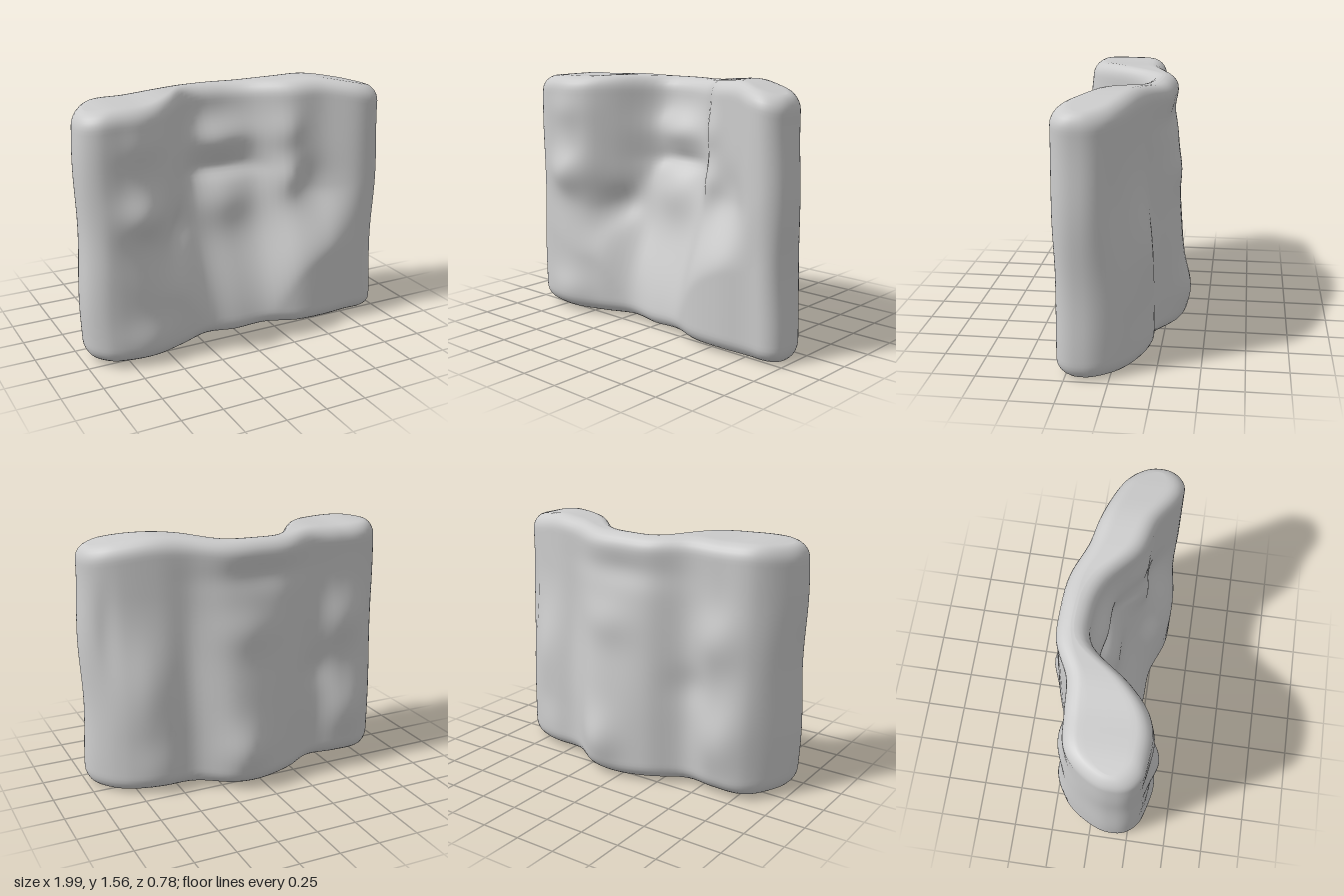
import * as THREE from 'three';

// Depth profiles at x = -1, -0.8 ... 1
const FRONT_TOP = [0.29, 0.32, 0.31, 0.17, -0.07, -0.10, -0.04, 0.13, 0.20, 0.31, 0.31];
const FRONT_LOW = [0.29, 0.34, 0.35, 0.30, 0.23, 0.25, 0.26, 0.33, 0.34, 0.31, 0.31];
const BACK_TOP = [0.01, -0.14, -0.17, -0.19, -0.28, -0.29, -0.27, -0.19, -0.14, -0.07, 0.03];
const BACK_LOW = [0.01, -0.18, -0.20, -0.19, -0.30, -0.34, -0.33, -0.22, -0.20, -0.13, 0.02];
// Height and softness of the step between the upper hollow and lower face
const LEDGE_Y = [0.80, 0.70, 0.58, 0.54, 0.55, 0.55, 0.56, 0.64, 0.68, 0.72, 0.80];
const LEDGE_SPREAD = [0.20, 0.20, 0.18, 0.20, 0.48, 0.60, 0.54, 0.30, 0.20, 0.20, 0.20];
const TOP_Y = [1.51, 1.53, 1.53, 1.54, 1.53, 1.53, 1.53, 1.55, 1.56, 1.53, 1.49];
const BASE_Y = [0.03, 0.02, 0.02, 0.02, 0.02, 0.01, 0.02, 0.02, 0.02, 0.01, 0.00];

// Bulges and hollows: x, y, radius in x, radius in y, depth
const FRONT_BUMPS = [
  [-0.65, 0.92, 0.15, 0.13, 0.06], [-0.62, 0.15, 0.18, 0.12, 0.03],
  [-0.66, 1.32, 0.15, 0.10, 0.015], [-0.50, 1.1, 0.08, 0.4, 0.02],
  [-0.36, 0.72, 0.09, 0.12, -0.05], [0.0, 0.86, 0.24, 0.19, 0.09],
  [0.02, 1.02, 0.2, 0.05, -0.03], [0.0, 1.2, 0.22, 0.12, 0.085],
  [0.38, 0.95, 0.08, 0.13, 0.05], [0.38, 1.25, 0.08, 0.12, 0.03],
  [0.58, 0.92, 0.13, 0.14, -0.02],
];
const BACK_BUMPS = [
  [0.12, 0.24, 0.14, 0.17, -0.055], [0.08, 1.0, 0.18, 0.14, -0.03],
  [0.0, 1.32, 0.3, 0.09, 0.025], [-0.64, 0.34, 0.14, 0.2, -0.045],
  [-0.62, 0.96, 0.14, 0.18, -0.05], [0.68, 0.7, 0.12, 0.25, -0.03],
  [0.66, 0.15, 0.12, 0.15, -0.015], [0.42, 0.9, 0.09, 0.4, 0.015],
  [-0.44, 0.65, 0.12, 0.12, 0.02], [0.88, 1.0, 0.05, 0.3, 0.02],
];

// Smooth interpolation through a profile
function sample(p, x) {
  const u = THREE.MathUtils.clamp((x + 1) * 5, 0, 9.9999);
  const i = Math.floor(u), t = u - i;
  const a = p[Math.max(i - 1, 0)], b = p[i], c = p[i + 1], d = p[Math.min(i + 2, 10)];
  return b + 0.5 * t * (c - a + t * (2 * a - 5 * b + 4 * c - d + t * (3 * (b - c) + d - a)));
}

const bumpSum = (list, x, y) => list.reduce((s, [bx, by, rx, ry, h]) =>
  s + h * Math.exp(-(((x - bx) / rx) ** 2) - ((y - by) / ry) ** 2), 0);

// Depth of one face, blended from its lower to its upper profile
function faceDepth(top, low, bumps, x, y, middle, spread) {
  const t = THREE.MathUtils.smoothstep(y, middle - spread, middle + spread);
  return THREE.MathUtils.lerp(sample(low, x), sample(top, x), t) + bumpSum(bumps, x, y);
}

// Rows from base to top: height fraction, edge inset, thickness factor
function makeRows() {
  const r = 0.09, height = 1.53, cap = [];
  for (const q of [0, 0.25, 0.5, 0.75]) cap.push([0, r, q]);
  for (let i = 0; i <= 6; i++) {
    const a = (i / 6) * Math.PI / 2;
    cap.push([r * (1 - Math.cos(a)) / height, r * (1 - Math.sin(a)), 1]);
  }
  const rows = [...cap], start = r / height;
  for (let i = 1; i < 56; i++) rows.push([start + (1 - 2 * start) * i / 56, 0, 1]);
  return rows.concat(cap.reverse().map(([f, d, q]) => [1 - f, d, q]));
}

function makeSlab() {
  const N = 76, ring = 2 * N, rows = makeRows(), pos = [], index = [];
  rows.forEach(([f, inset, q], row) => {
    for (let j = 0; j < ring; j++) {
      // Front runs left to right, then the back returns
      const isFront = j <= N;
      const t = -Math.cos(Math.PI * (isFront ? j : ring - j) / N);
      const x = t * (0.985 - inset * 0.7 + 0.008 * Math.sin(f * 11 + t));
      const y = THREE.MathUtils.lerp(sample(BASE_Y, x), sample(TOP_Y, x), f);
      const front = faceDepth(FRONT_TOP, FRONT_LOW, FRONT_BUMPS, x, y,
        sample(LEDGE_Y, x), sample(LEDGE_SPREAD, x));
      const back = faceDepth(BACK_TOP, BACK_LOW, BACK_BUMPS, x, y, 0.8, 0.42);
      // Rounded side ends
      const e = Math.max(0, (Math.abs(t) - 0.87) / 0.13);
      const taper = Math.max(0, 1 - e ** 2.4) ** (1 / 2.4);
      const half = Math.max(0.01, (front - back) / 2 - inset) * taper * q;
      pos.push(x, y, (front + back) / 2 + (isFront ? half : -half));
      if (row < rows.length - 1) {
        const a = row * ring + j, b = row * ring + (j + 1) % ring;
        index.push(a, b, b + ring, a, b + ring, a + ring);
      }
    }
  });
  const g = new THREE.BufferGeometry();
  g.setAttribute('position', new THREE.Float32BufferAttribute(pos, 3));
  g.setIndex(index);
  g.computeVertexNormals();
  return g;
}

export function createModel() {
  const group = new THREE.Group();
  group.name = 'curvedRockWall';
  const slab = new THREE.Mesh(makeSlab(), new THREE.MeshStandardMaterial({ color: 0xcccccc }));
  slab.name = 'rockSlab';
  group.add(slab);
  return group;
}
